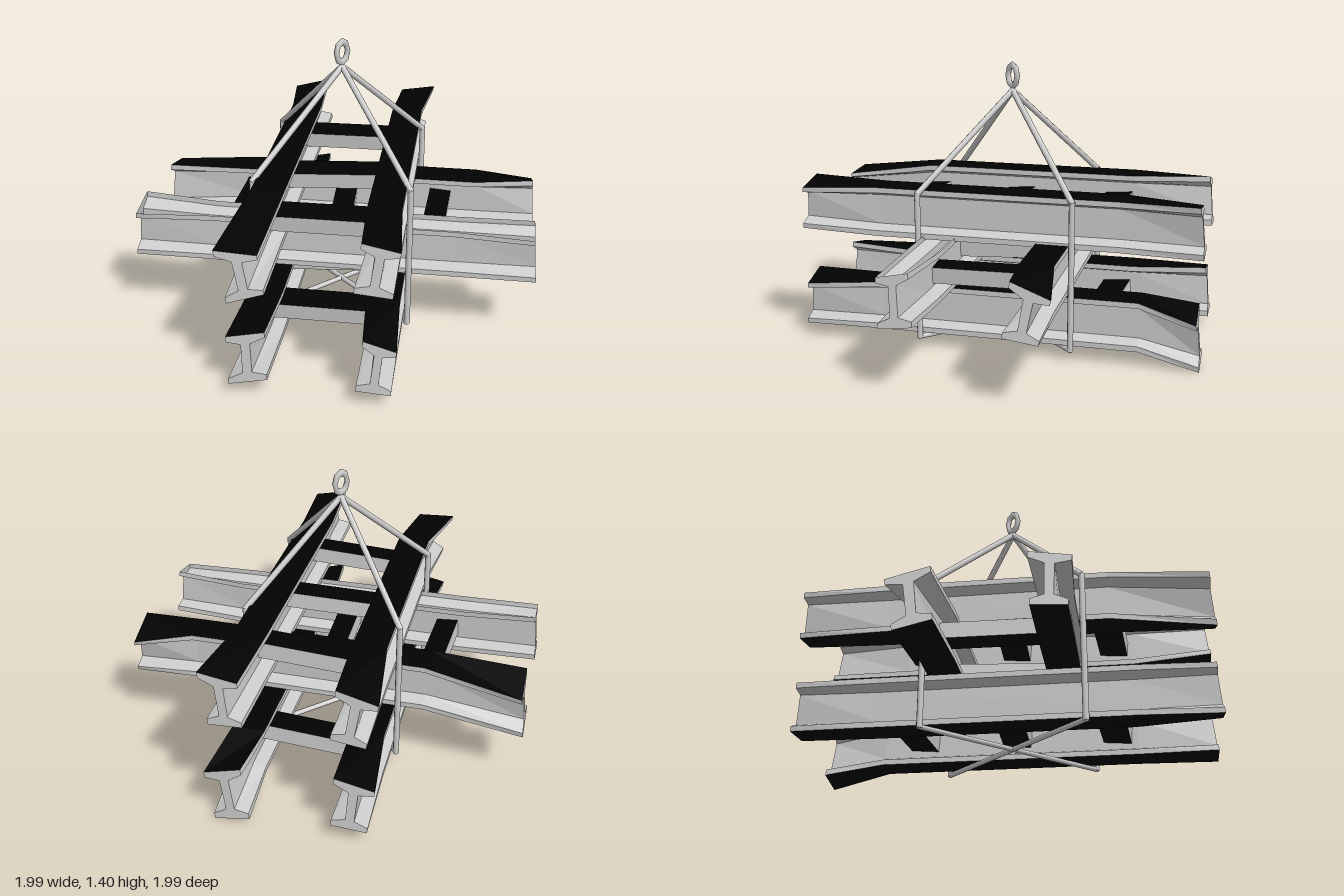
import * as THREE from 'three';

const steel = new THREE.MeshStandardMaterial({ color: 0xcccccc, side: THREE.DoubleSide });
const dark = new THREE.MeshStandardMaterial({ color: 0x020202, side: THREE.DoubleSide });

// I-section in unit coordinates (0..1 across, 0..1 up), counter-clockwise
const SECTION = [
  [0, 0], [1, 0], [1, 0.11], [0.62, 0.2], [0.62, 0.8], [1, 0.89],
  [1, 1], [0, 1], [0, 0.89], [0.38, 0.8], [0.38, 0.2], [0, 0.11],
].map(([u, v]) => new THREE.Vector2(u, v));

function flatMesh(points, material, name) {
  const geometry = new THREE.BufferGeometry().setFromPoints(points);
  geometry.computeVertexNormals();
  const mesh = new THREE.Mesh(geometry, material);
  mesh.name = name;
  return mesh;
}

// Beam along z with bent ends. Corners are listed as
// top left, top right, bottom right, bottom left, each [x, y].
function beam(name, { side, y, back, front, bends = [-0.6, 0.6], openTop = false }) {
  const x0 = side > 0 ? 0.2 : -0.36, x1 = x0 + 0.16, y1 = y + 0.245;
  const straight = [[x0, y1], [x1, y1], [x1, y], [x0, y]];
  const ring = (corners, z, end) => SECTION.map(({ x: u, y: v }) => {
    const mix = (k) => (1 - v) * ((1 - u) * corners[3][k] + u * corners[2][k])
      + v * ((1 - u) * corners[0][k] + u * corners[1][k]);
    return new THREE.Vector3(mix(0), mix(1), z + end * (0.995 - 0.02 * v));
  });
  const rings = [
    ring(back, 0, -1), ring(straight, bends[0], 0),
    ring(straight, bends[1], 0), ring(front, 0, 1),
  ];
  const body = [], faces = [];
  const n = SECTION.length;
  for (let r = 0; r < 3; r++) {
    for (let i = 0; i < n; i++) {
      if (i === 6 && openTop) continue;
      const j = (i + 1) % n, a = rings[r], b = rings[r + 1];
      const target = i === 0 || i === 6 ? faces : body;
      target.push(a[i], a[j], b[j], a[i], b[j], b[i]);
    }
  }
  // End caps
  for (const [a, b, c] of THREE.ShapeUtils.triangulateShape(SECTION, [])) {
    body.push(rings[3][a], rings[3][b], rings[3][c]);
    body.push(rings[0][c], rings[0][b], rings[0][a]);
  }
  const group = new THREE.Group();
  group.name = name;
  group.add(flatMesh(body, steel, 'beamBody'), flatMesh(faces, dark, 'flangeFaces'));
  return group;
}

// Short struts joining the webs of a pair of beams
function struts(y, positions, width) {
  const group = new THREE.Group();
  group.name = 'struts';
  positions.forEach((z, i) => {
    const strut = new THREE.Mesh(
      new THREE.BoxGeometry(0.54, 0.08, width),
      [steel, steel, dark, dark, steel, steel],
    );
    strut.name = 'strut';
    strut.position.set(0, y, z);
    strut.rotation.set(0.08, i % 2 ? 0.04 : -0.04, 0.03);
    group.add(strut);
  });
  return group;
}

function layer(name, beams, strutSet) {
  const group = new THREE.Group();
  group.name = name;
  group.add(...beams, strutSet);
  return group;
}

// Round bar between two points
function bar(a, b, radius) {
  const mesh = new THREE.Mesh(new THREE.CylinderGeometry(radius, radius, a.distanceTo(b) + 0.012, 8), steel);
  mesh.position.copy(a).lerp(b, 0.5);
  mesh.quaternion.setFromUnitVectors(new THREE.Vector3(0, 1, 0), b.clone().sub(a).normalize());
  mesh.name = 'cable';
  return mesh;
}

export function createModel() {
  const model = new THREE.Group();
  model.name = 'hoistedBeams';

  model.add(layer('bottomLayer', [
    beam('rightBeam', {
      side: -1, y: 0.085,
      back: [[-0.4, 0.31], [-0.21, 0.35], [-0.2, 0.09], [-0.37, 0.08]],
      front: [[-0.39, 0.31], [-0.21, 0.35], [-0.2, 0.11], [-0.38, 0.07]],
    }),
    beam('leftBeam', {
      side: 1, y: 0.085, bends: [-0.7, 0.6],
      back: [[0.23, 0.31], [0.41, 0.26], [0.36, 0.01], [0.19, 0.04]],
      front: [[0.23, 0.345], [0.38, 0.3], [0.36, 0.08], [0.2, 0.09]],
    }),
  ], struts(0.2, [-0.5, 0, 0.49], 0.14)));

  const middle = layer('middleLayer', [
    beam('frontBeam', {
      side: -1, y: 0.34, openTop: true,
      back: [[-0.38, 0.58], [-0.19, 0.61], [-0.2, 0.35], [-0.36, 0.34]],
      front: [[-0.37, 0.57], [-0.22, 0.6], [-0.2, 0.36], [-0.36, 0.34]],
    }),
    beam('backBeam', {
      side: 1, y: 0.34, bends: [-0.5, 0.68],
      back: [[0.22, 0.57], [0.42, 0.52], [0.37, 0.27], [0.2, 0.31]],
      front: [[0.23, 0.6], [0.41, 0.53], [0.36, 0.33], [0.2, 0.35]],
    }),
  ], struts(0.455, [-0.51, 0, 0.48], 0.11));
  middle.rotation.y = Math.PI / 2;
  model.add(middle);

  model.add(layer('topLayer', [
    beam('rightBeam', {
      side: -1, y: 0.57, bends: [-0.58, 0.5],
      back: [[-0.41, 0.78], [-0.22, 0.83], [-0.2, 0.58], [-0.36, 0.56]],
      front: [[-0.425, 0.75], [-0.23, 0.74], [-0.2, 0.56], [-0.37, 0.5]],
    }),
    beam('leftBeam', {
      side: 1, y: 0.57,
      back: [[0.22, 0.79], [0.405, 0.82], [0.36, 0.56], [0.2, 0.57]],
      front: [[0.22, 0.835], [0.39, 0.8], [0.36, 0.585], [0.19, 0.6]],
    }),
  ], struts(0.68, [-0.5, 0, 0.49], 0.14)));

  // Sling: four legs to the corners, crossing under the stack
  const sling = new THREE.Group();
  sling.name = 'sling';
  const apex = new THREE.Vector3(0, 1.265, 0);
  const centre = new THREE.Vector3(0, 0.07, 0);
  for (const sx of [-1, 1]) {
    for (const sz of [-1, 1]) {
      const top = new THREE.Vector3(sx * 0.38, 0.8, sz * 0.38);
      const bottom = new THREE.Vector3(sx * 0.38, 0.07, sz * 0.38);
      sling.add(bar(apex, top, 0.015), bar(top, bottom, 0.015), bar(bottom, centre, 0.013));
    }
  }
  model.add(sling);

  // Lifting eye
  const eye = new THREE.Mesh(new THREE.TorusGeometry(0.037, 0.014, 6, 8), steel);
  eye.name = 'liftingEye';
  eye.scale.y = 1.4;
  eye.position.y = 1.338;
  eye.rotation.y = Math.PI / 3.5;
  model.add(eye);

  return model;
}
